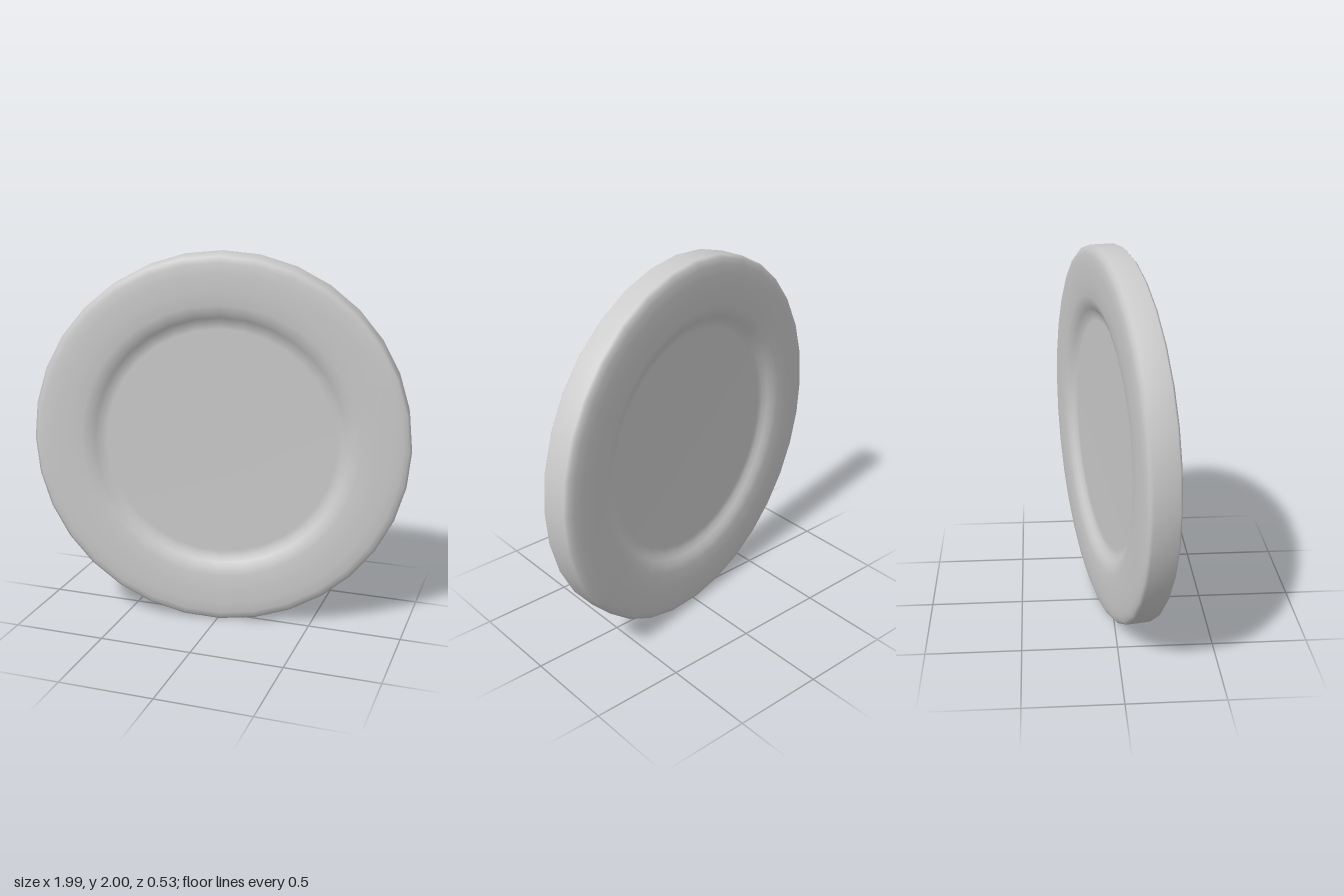
import * as THREE from 'three';

const SEGMENTS = 32;
const TILT = 0.191; // turn of the disc about the vertical axis

// Half profile [radius, half thickness]: recessed floor, rounded step, raised rim, bevel
const HALF = [
  [0, 0.037], [0.61, 0.037], [0.645, 0.043], [0.672, 0.06], [0.7, 0.077],
  [0.74, 0.087], [0.82, 0.0915], [0.9, 0.0905], [0.955, 0.087], [0.985, 0.077], [1, 0.063],
];

export function createModel() {
  const model = new THREE.Group();
  const material = new THREE.MeshStandardMaterial({ color: 0xcccccc });

  // Both faces share the same profile, mirrored front to back
  const back = HALF.map(([r, t]) => new THREE.Vector2(r, -t));
  const front = HALF.map(([r, t]) => new THREE.Vector2(r, t)).reverse();
  const geometry = new THREE.LatheGeometry([...back, ...front], SEGMENTS);
  geometry.rotateX(Math.PI / 2);

  const disc = new THREE.Mesh(geometry, material);
  disc.name = 'disc';
  disc.position.y = 1;
  disc.rotation.y = TILT;
  model.add(disc);
  return model;
}
